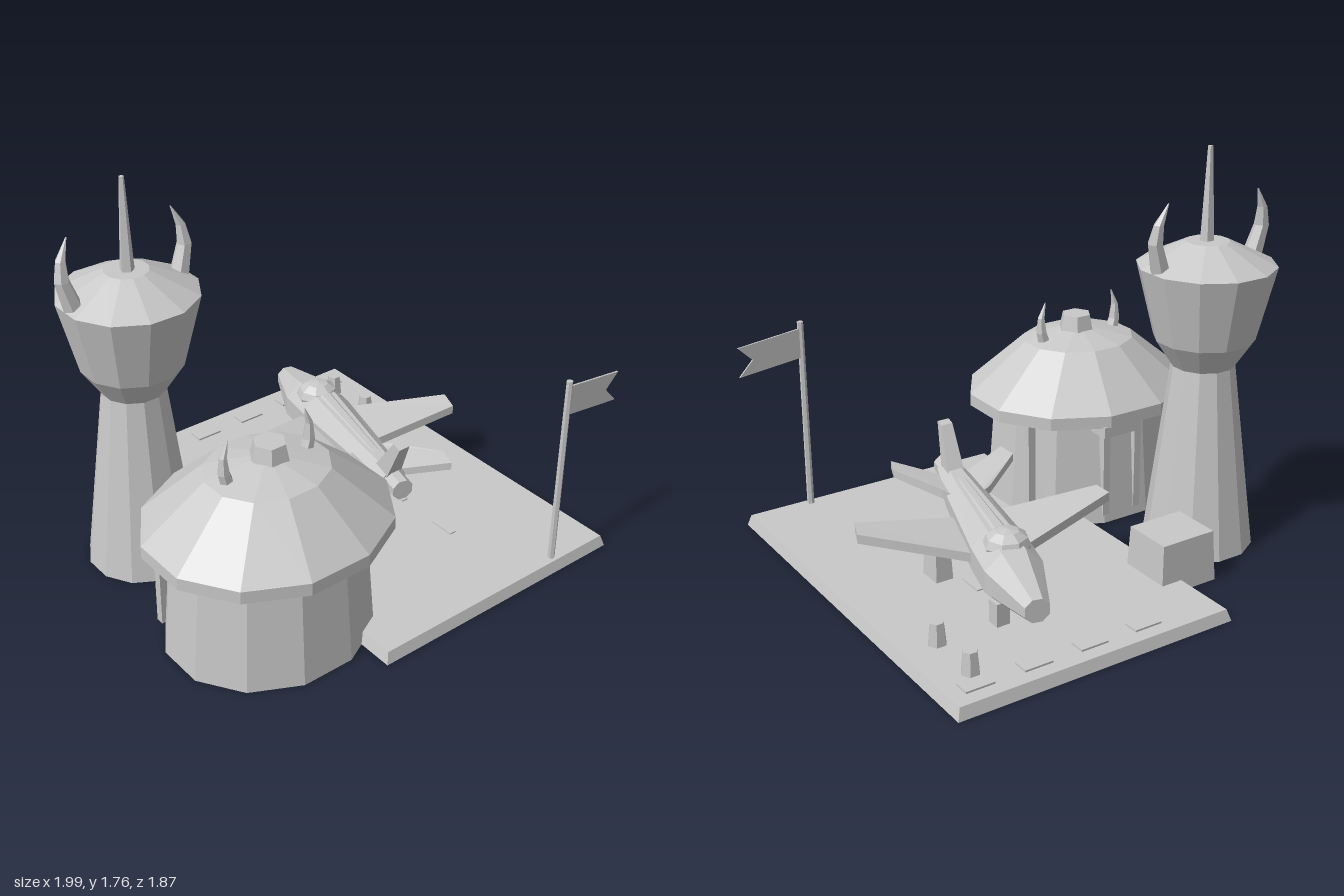
import * as THREE from 'three';

const grey = new THREE.MeshStandardMaterial({ color: 0xc8c8c8, flatShading: true, side: THREE.DoubleSide });
grey.name = 'grey';
const V = (x, y, z) => new THREE.Vector3(x, y, z);

// Skin a list of rings (equal point counts), cap the ends, face outwards
function loft(rings, openBase = false) {
  const n = rings[0].length, pos = [], idx = [];
  rings.forEach(r => r.forEach(p => pos.push(p.x, p.y, p.z)));
  for (let i = 0; i < rings.length - 1; i++)
    for (let j = 0; j < n; j++) {
      const a = i * n + j, b = i * n + (j + 1) % n;
      idx.push(a, b, a + n, b, b + n, a + n);
    }
  const last = (rings.length - 1) * n;
  for (let j = 1; j < n - 1; j++) {
    if (!openBase) idx.push(0, j + 1, j);
    idx.push(last, last + j, last + j + 1);
  }
  const p = k => V(pos[3 * k], pos[3 * k + 1], pos[3 * k + 2]);
  let volume = 0;
  for (let i = 0; i < idx.length; i += 3) volume += p(idx[i]).dot(p(idx[i + 1]).cross(p(idx[i + 2])));
  if (volume < 0) idx.reverse();
  const g = new THREE.BufferGeometry();
  g.setAttribute('position', new THREE.Float32BufferAttribute(pos, 3));
  g.setIndex(idx);
  const flat = g.toNonIndexed();
  flat.computeVertexNormals();
  return flat;
}

// Rectangle at height y
const rect = (x0, x1, z0, z1, y) => [V(x0, y, z0), V(x1, y, z0), V(x1, y, z1), V(x0, y, z1)];

// Twelve-sided turned body; profile widths are measured to the flats
function turned(profile) {
  const k = 1 / Math.cos(Math.PI / 12);
  return new THREE.LatheGeometry(profile.map(([r, y]) => new THREE.Vector2(r * k, y)), 12, Math.PI / 12);
}

// Curved horn on the left (+x) side for s = 1, mirrored for s = -1
function horn(s, r, path) {
  return loft(path.map(([x, y, z, f]) => Array.from({ length: 6 }, (_, i) => {
    const a = i * Math.PI / 3;
    return V(s * (x + Math.cos(a) * r * f), y, z + Math.sin(a) * r * f);
  })));
}

// Flat plate following outline points, with vertical thickness
function plate(points, t) {
  return loft([points.map(p => V(p[0], p[1] - t / 2, p[2])), points.map(p => V(p[0], p[1] + t / 2, p[2]))]);
}

export function createModel() {
  const model = new THREE.Group();
  const add = (parent, name, geo, x = 0, y = 0, z = 0) => {
    const m = new THREE.Mesh(geo, grey);
    m.name = name;
    m.position.set(x, y, z);
    parent.add(m);
    return m;
  };
  const group = (name, x = 0, y = 0, z = 0) => {
    const g = new THREE.Group();
    g.name = name;
    g.position.set(x, y, z);
    model.add(g);
    return g;
  };
  const box = (p, name, w, h, d, x, y, z) => add(p, name, new THREE.BoxGeometry(w, h, d), x, y + h / 2, z);

  // Airfield slab: a hollow tray with a sloping rim
  const field = group('airfield');
  add(field, 'slab', loft([rect(-0.28, 0.985, -0.94, 0.93, 0), rect(-0.265, 0.97, -0.925, 0.915, 0.05)], true));
  for (let i = 0; i < 4; i++) box(field, 'endMarking', 0.125, 0.008, 0.07, 0.08 + i * 0.255, 0.05, -0.83);
  for (const z of [-0.19, 0.13, 0.445]) box(field, 'centreDash', 0.03, 0.006, 0.12, 0.47, 0.05, z);
  for (const z of [-0.75, -0.505]) {
    const b = add(field, 'bollard', new THREE.CylinderGeometry(0.03, 0.04, 0.095, 6), 0.82, 0.0975, z);
    b.rotation.y = Math.PI / 6;
  }

  // Hut
  const hut = group('hut', -0.488, 0, 0.43);
  add(hut, 'hutWall', turned([[0.44, 0], [0.4, 0.5]])).scale.z = 0.88;
  add(hut, 'hutRoof', turned([[0.395, 0.5], [0.512, 0.495], [0.512, 0.55], [0.255, 0.77], [0.07, 0.815], [0, 0.815]])).scale.z = 0.885;
  const cap = add(hut, 'roofCap', new THREE.CylinderGeometry(0.068, 0.088, 0.09, 6), 0.012, 0.835, 0);
  cap.rotation.y = Math.PI / 6;
  for (const s of [-1, 1])
    add(hut, 'hutHorn', horn(s, 0.033, [[0.18, 0.74, 0, 1], [0.204, 0.82, 0, 0.8], [0.205, 0.89, 0, 0.5], [0.183, 0.96, 0, 0.06]]));
  for (const [x, z] of [[0.4, -0.2], [-0.36, -0.235], [0.11, -0.37], [-0.06, -0.37]])
    box(hut, 'doorPost', 0.035, 0.45, 0.035, x, 0.04, z);
  box(hut, 'doorLintel', 0.19, 0.05, 0.1, 0.075, 0.45, -0.4);
  box(hut, 'crate', 0.09, 0.085, 0.09, 0.3, 0.05, -0.29);

  // Tower
  const tower = group('tower', -0.625, 0, -0.298);
  add(tower, 'towerBody', turned([[0.235, 0], [0.133, 0.83], [0.21, 0.95], [0.287, 1.27]]));
  add(tower, 'towerRoof', turned([[0.287, 1.27], [0.09, 1.37], [0, 1.37]]));
  add(tower, 'spike', new THREE.CylinderGeometry(0.011, 0.031, 0.4, 5), 0, 1.565, 0.006);
  for (const s of [-1, 1])
    add(tower, 'towerHorn', horn(s, 0.044, [[0.245, 1.27, 0, 1], [0.283, 1.4, -0.01, 0.75], [0.275, 1.48, -0.02, 0.5], [0.237, 1.565, -0.03, 0.06]]));
  add(model, 'storeBox', loft([rect(-0.445, -0.165, -0.64, -0.395, 0), rect(-0.435, -0.175, -0.63, -0.405, 0.225)], true));

  // Plane, heading slightly to one side of -z
  const plane = group('plane');
  const axisX = z => 0.545 - (z + 0.79) * 0.243;
  const section = ([z, y, w, h]) => Array.from({ length: 8 }, (_, i) => {
    const a = (i + 0.5) * Math.PI / 4, k = 1 / Math.cos(Math.PI / 8);
    const u = Math.cos(a) * w * k;
    return V(axisX(z) + u * 0.971, y + Math.sin(a) * h * k, z + u * 0.237);
  });
  add(plane, 'fuselage', loft([
    [0.32, 0.32, 0.055, 0.05], [0.1, 0.295, 0.085, 0.068], [-0.35, 0.253, 0.12, 0.112],
    [-0.52, 0.238, 0.12, 0.112], [-0.78, 0.232, 0.05, 0.048]].map(section)));
  add(plane, 'spine', loft([[0.2, 0.34, 0.03, 0.025], [-0.38, 0.345, 0.045, 0.027]].map(section)));
  add(plane, 'tailNozzle', loft([[0.22, 0.32, 0.048, 0.046], [0.4, 0.318, 0.046, 0.044]].map(section)));
  const canopy = add(plane, 'canopy', new THREE.SphereGeometry(0.098, 8, 6), 0.45, 0.335, -0.425);
  canopy.scale.y = 0.68;
  add(plane, 'leftWing', plate([[0.53, 0.25, -0.335], [0.91, 0.32, -0.04], [0.87, 0.32, 0.06], [0.38, 0.25, -0.03]], 0.04));
  add(plane, 'rightWing', plate([[0.38, 0.25, -0.395], [-0.145, 0.325, -0.29], [-0.145, 0.325, -0.2], [0.36, 0.25, -0.03]], 0.04));
  add(plane, 'leftTailplane', plate([[0.36, 0.3, 0.03], [0.43, 0.325, 0.12], [0.535, 0.36, 0.35], [0.5, 0.36, 0.44], [0.29, 0.3, 0.24]], 0.035));
  add(plane, 'rightTailplane', plate([[0.33, 0.3, 0.02], [0.22, 0.315, 0.07], [0.015, 0.36, 0.21], [0.015, 0.36, 0.31], [0.29, 0.3, 0.24]], 0.035));
  const finRing = (z0, z1, y, w) => [[z0, -w], [z0, w], [z1, w], [z1, -w]].map(([z, u]) => V(axisX(z) + u, y, z));
  add(plane, 'tailFin', loft([finRing(0.2, 0.31, 0.33, 0.042), finRing(0.345, 0.4, 0.53, 0.028)]));
  for (const x of [0.185, 0.55])
    add(plane, 'mainGear', loft([rect(x - 0.04, x + 0.04, -0.1, 0.012, 0.05), rect(x - 0.033, x + 0.033, -0.09, 0.002, 0.215)]));
  box(plane, 'noseGear', 0.06, 0.1, 0.06, 0.54, 0.05, -0.507);

  // Flag with a swallowtail
  const flag = group('flag');
  add(flag, 'flagPole', new THREE.CylinderGeometry(0.014, 0.016, 0.91, 6), 0.69, 0.475, 0.885);
  const cloth = new THREE.Shape([[0.7, 0.9], [0.99, 0.865], [0.925, 0.8], [0.99, 0.73], [0.7, 0.765]].map(p => new THREE.Vector2(...p)));
  add(flag, 'flagCloth', new THREE.ExtrudeGeometry(cloth, { depth: 0.008, bevelEnabled: false }), 0, 0, 0.876);

  return model;
}
